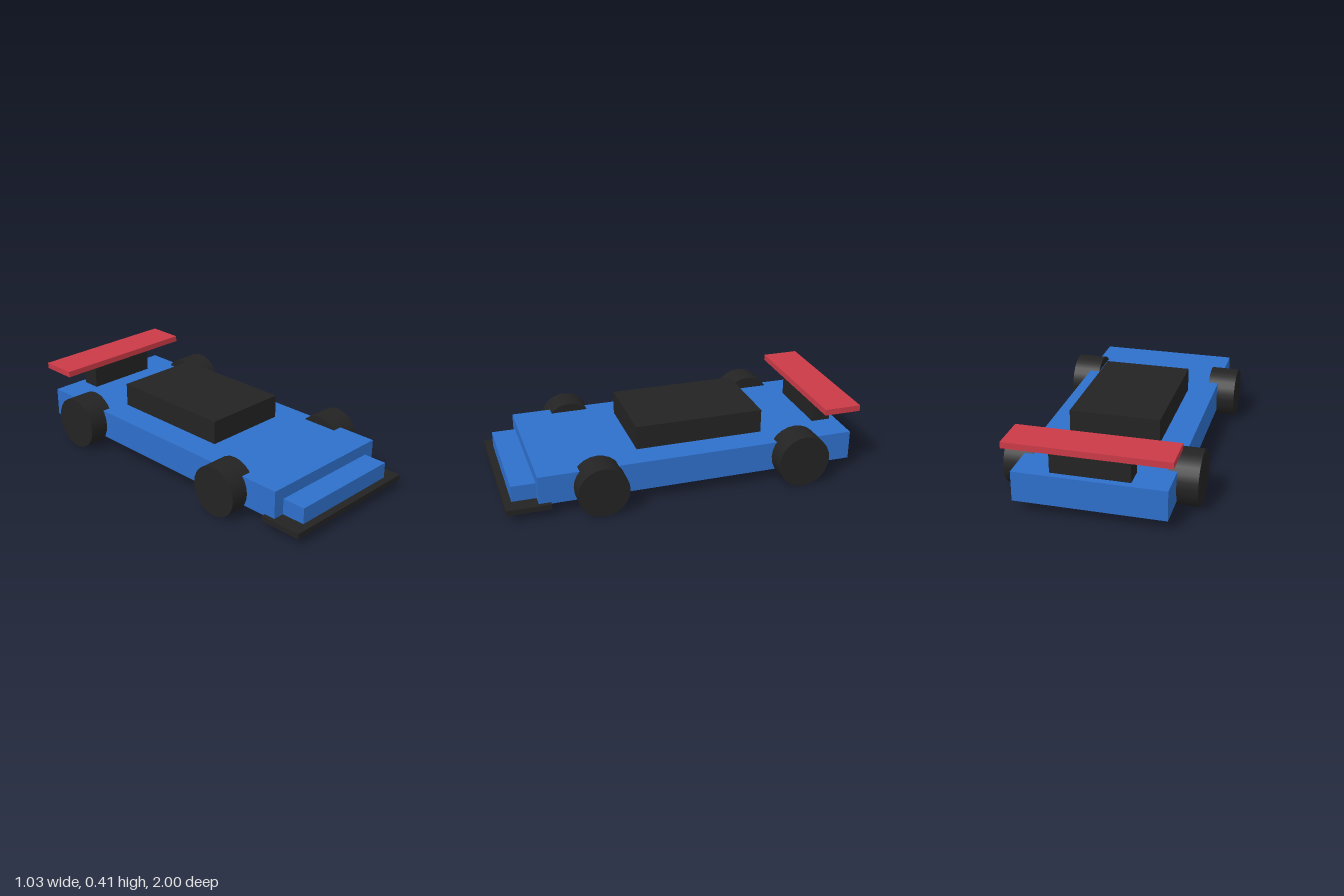
import * as THREE from 'three';

export function createModel() {
  const car = new THREE.Group();
  car.name = 'raceCar';

  const paint = (name, color) => {
    const m = new THREE.MeshStandardMaterial({ color });
    m.name = name;
    return m;
  };
  const blue = paint('bodyBlue', 0x2e70cc);
  const red = paint('wingRed', 0xcb3a47);
  const black = paint('trimBlack', 0x232323);

  // Box centred on x, given by half width and its y and z limits
  const block = (name, material, halfWidth, y0, y1, z0, z1) => {
    const mesh = new THREE.Mesh(new THREE.BoxGeometry(halfWidth * 2, y1 - y0, z1 - z0), material);
    mesh.position.set(0, (y0 + y1) / 2, (z0 + z1) / 2);
    mesh.name = name;
    car.add(mesh);
  };

  block('body', blue, 0.402, 0.068, 0.233, -0.97, 0.823);
  block('nose', blue, 0.337, 0.065, 0.167, 0.69, 0.957);
  block('frontSplitter', black, 0.425, 0.047, 0.077, 0.757, 1.0);
  block('cabin', black, 0.247, 0.225, 0.367, -0.485, 0.245);
  block('wingSupport', black, 0.21, 0.225, 0.374, -0.933, -0.825);
  block('rearWing', red, 0.433, 0.373, 0.407, -1.0, -0.79);

  // Wheels stand on the ground, mirrored left and right
  const wheelPair = (name, radius, inner, outer, z) => {
    const geometry = new THREE.CylinderGeometry(radius, radius, outer - inner, 24);
    geometry.rotateZ(Math.PI / 2);
    for (const side of [1, -1]) {
      const wheel = new THREE.Mesh(geometry, black);
      wheel.position.set((side * (inner + outer)) / 2, radius, z);
      wheel.name = name + (side > 0 ? 'Left' : 'Right');
      car.add(wheel);
    }
  };
  wheelPair('frontWheel', 0.141, 0.345, 0.505, 0.493);
  wheelPair('rearWheel', 0.149, 0.356, 0.513, -0.642);

  return car;
}
